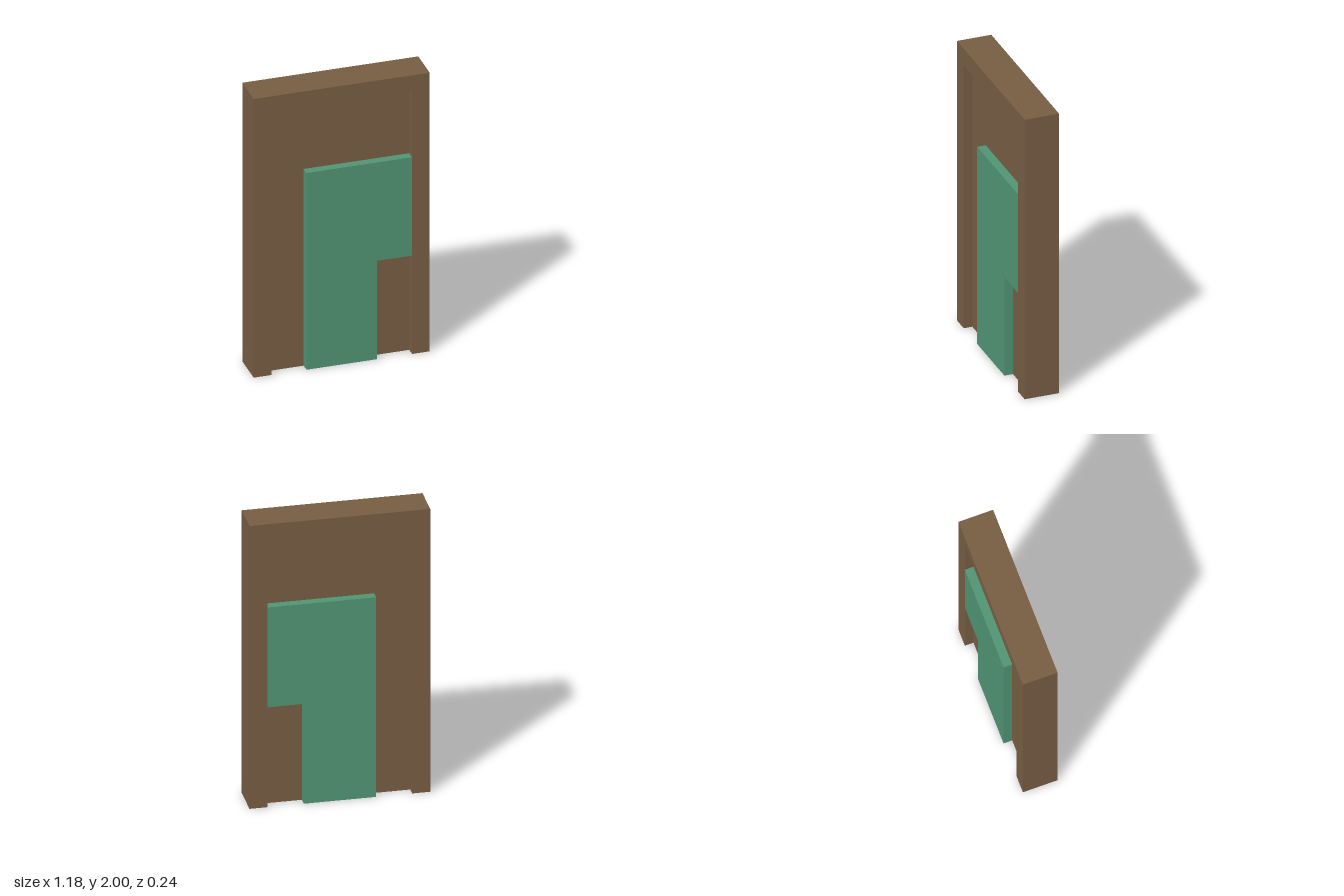
import * as THREE from 'three';

const U = 2 / 17; // grid unit: 17 units tall, 10 wide, 2 deep

export function createModel() {
  const brown = new THREE.MeshStandardMaterial({ color: 0x775d43 });
  brown.name = 'brown';
  const green = new THREE.MeshStandardMaterial({ color: 0x509574 });
  green.name = 'green';

  const group = new THREE.Group();
  group.name = 'door';

  // Extrudes an outline given in grid units between two depths
  function addSlab(name, outline, z0, z1, material) {
    const shape = new THREE.Shape(outline.map(([x, y]) => new THREE.Vector2(x * U, y * U)));
    const geometry = new THREE.ExtrudeGeometry(shape, { depth: (z1 - z0) * U, bevelEnabled: false });
    geometry.translate(0, 0, z0 * U);
    const mesh = new THREE.Mesh(geometry, material);
    mesh.name = name;
    group.add(mesh);
  }

  // Surround: two jambs and a lintel in one piece
  addSlab('frame', [[-5, 0], [-4, 0], [-4, 16], [4, 16], [4, 0], [5, 0], [5, 17], [-5, 17]], -1, 1, brown);

  // Recessed panel filling the opening
  addSlab('panel', [[-4, 0], [4, 0], [4, 16], [-4, 16]], -0.5, 0.5, brown);

  // Notched raised plates, flush with the frame on both faces
  const plate = [[-2, 0], [2, 0], [2, 6], [4, 6], [4, 12], [-2, 12]];
  addSlab('frontPlate', plate, 0.5, 1, green);
  addSlab('backPlate', plate, -1, -0.5, green);

  return group;
}
